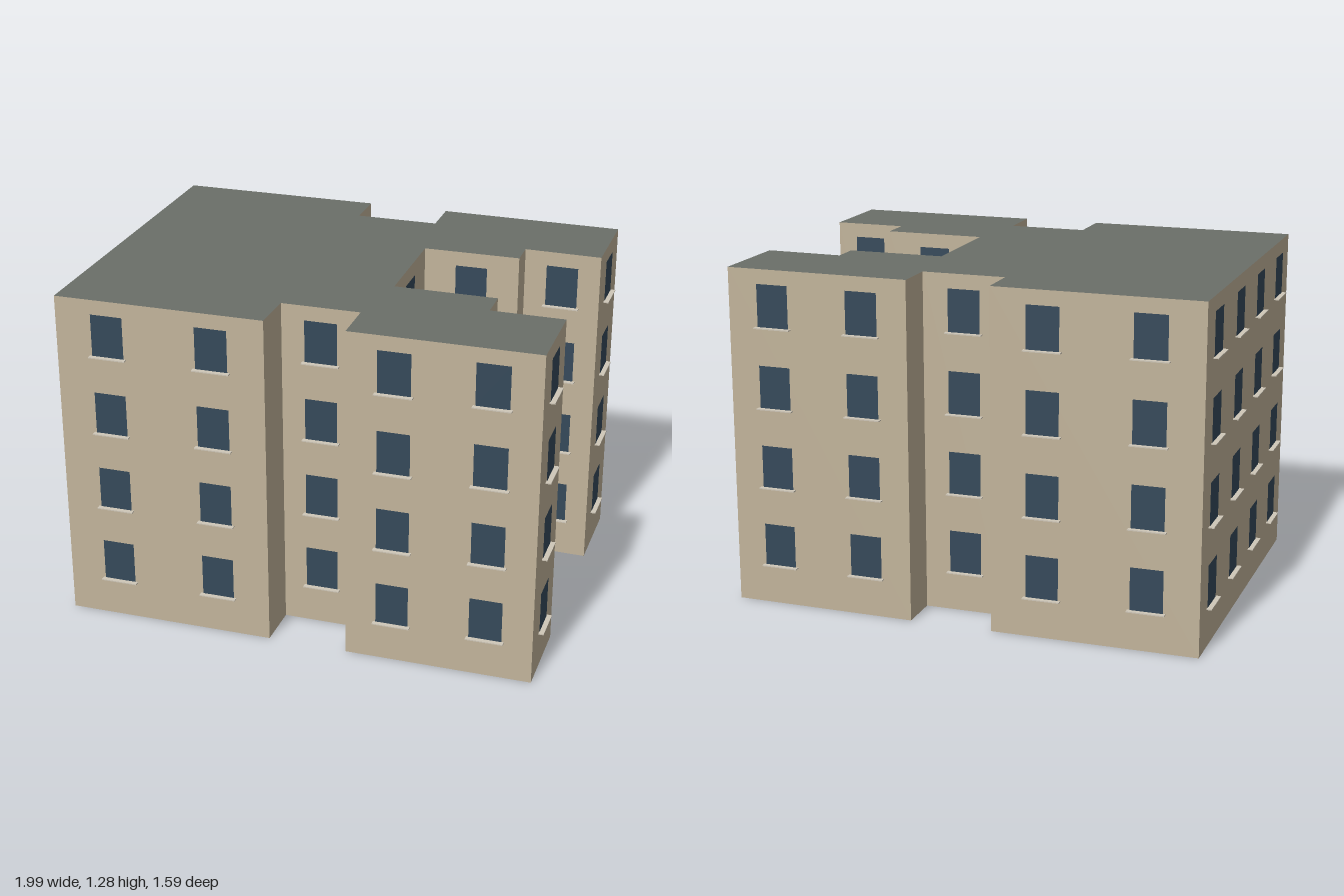
import * as THREE from 'three';

const HEIGHT = 1.28;
const FLOORS = 4;
const WIN_W = 0.122, WIN_H = 0.16, FIRST_SILL = 0.15, FLOOR_STEP = 0.305;

// Footprint corners [x, z, windows per floor on the wall to the next corner]
const FOOTPRINT = [
  [-0.99, -0.515, 2], [-0.225, -0.64, 0], [-0.2, -0.482, 1], [0.11, -0.533, 0],
  [0.085, -0.69, 2], [0.777, -0.795, 1], [0.83, -0.46, 1], [0.54, -0.42, 0],
  [0.557, -0.315, 1], [0.195, -0.255, 1], [0.265, 0.16, 1], [0.645, 0.1, 0],
  [0.665, 0.22, 1], [0.936, 0.178, 1], [0.99, 0.505, 2], [0.3, 0.618, 0],
  [0.27, 0.442, 1], [-0.022, 0.49, 0], [0.004, 0.665, 2], [-0.78, 0.795, 4],
];

const mat = (color) => new THREE.MeshStandardMaterial({ color });

function named(mesh, name) {
  mesh.name = name;
  return mesh;
}

export function createModel() {
  const model = new THREE.Group();
  model.name = 'apartmentBlock';
  const wallMat = mat(0xc2b49b), roofMat = mat(0x6b6f69);
  const glassMat = mat(0x35495a), sillMat = mat(0xcfc7b8);

  // Building body: roof and base caps, plain walls
  const outline = new THREE.Shape(FOOTPRINT.map(([x, z]) => new THREE.Vector2(x, -z)));
  const body = new THREE.ExtrudeGeometry(outline, { depth: HEIGHT, bevelEnabled: false });
  body.rotateX(-Math.PI / 2);
  model.add(named(new THREE.Mesh(body, [roofMat, wallMat]), 'building'));

  // Pane lies just proud of the wall, sill projects below it
  const paneGeo = new THREE.PlaneGeometry(WIN_W, WIN_H).translate(0, WIN_H / 2, 0.002);
  const sillGeo = new THREE.BoxGeometry(0.14, 0.004, 0.02).translate(0, -0.002, 0.01);

  // Evenly spaced windows along each wall, repeated on every floor
  FOOTPRINT.forEach(([x0, z0, count], i) => {
    if (!count) return;
    const [x1, z1] = FOOTPRINT[(i + 1) % FOOTPRINT.length];
    const wall = new THREE.Group();
    wall.name = 'wallWindows' + i;
    for (let k = 0; k < count; k++) {
      const t = (k + 0.5) / count;
      for (let f = 0; f < FLOORS; f++) {
        const win = new THREE.Group();
        win.name = 'window';
        win.add(named(new THREE.Mesh(paneGeo, glassMat), 'pane'));
        win.add(named(new THREE.Mesh(sillGeo, sillMat), 'sill'));
        win.position.set(x0 + (x1 - x0) * t, FIRST_SILL + f * FLOOR_STEP, z0 + (z1 - z0) * t);
        win.rotation.y = Math.atan2(z1 - z0, x0 - x1);
        wall.add(win);
      }
    }
    model.add(wall);
  });

  return model;
}
